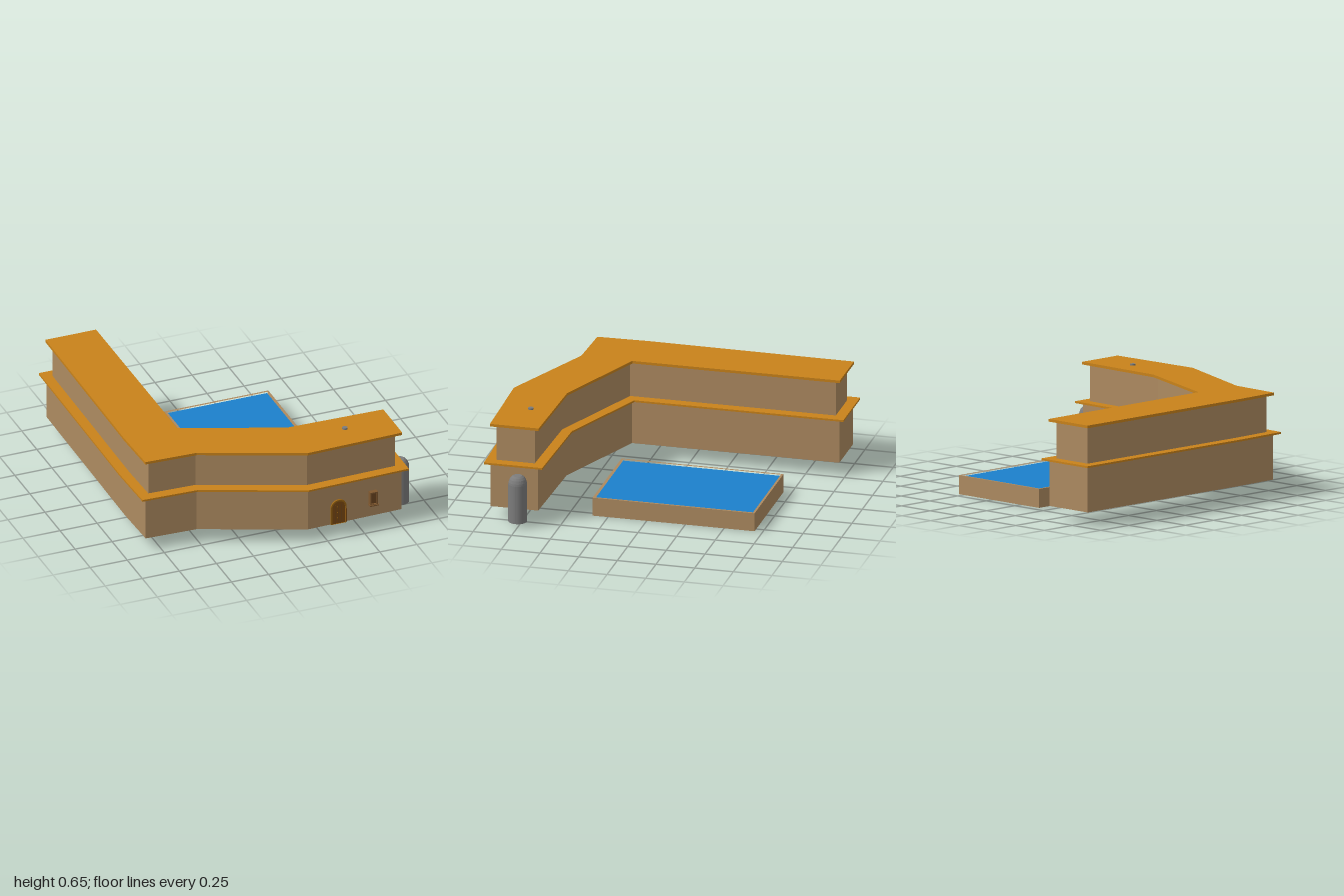
import * as THREE from 'three';

const mat = (color) => new THREE.MeshStandardMaterial({ color, flatShading: true });
const wallMat = mat(0xad8a60), roofMat = mat(0xc8821a), waterMat = mat(0x1c80cc);
const greyMat = new THREE.MeshStandardMaterial({ color: 0x7c7c7c });
const woodMat = mat(0x7d4a12), trimMat = mat(0x9a6412), frameMat = mat(0x80582f), paneMat = mat(0x6b4520);

// Ground plan of the bent building as [x, z], at the edge of the lower slab
const PLAN = [
  [-0.885, -1], [-0.48, -1], [-0.475, 0.35], [0.14, 0.59], [0.805, 0.605],
  [0.805, 0.982], [0.125, 1], [-0.52, 0.735], [-0.885, 0.722], [-0.896, 0.37],
];

// Moves every edge of the plan inwards by d, with mitred corners
function inset(points, d) {
  const n = points.length;
  const normal = (a, b) => {
    const dx = b[0] - a[0], dz = b[1] - a[1], l = Math.hypot(dx, dz);
    return [-dz / l, dx / l];
  };
  return points.map((p, i) => {
    const a = normal(points[(i + n - 1) % n], p);
    const b = normal(p, points[(i + 1) % n]);
    const k = d / (1 + a[0] * b[0] + a[1] * b[1]);
    return [p[0] + (a[0] + b[0]) * k, p[1] + (a[1] + b[1]) * k];
  });
}

function add(parent, name, geometry, material, x = 0, y = 0, z = 0) {
  const mesh = new THREE.Mesh(geometry, material);
  mesh.name = name;
  mesh.position.set(x, y, z);
  parent.add(mesh);
  return mesh;
}

// Upright prism over a plan, from y0 to y1
function prism(parent, name, points, y0, y1, material, hole) {
  const toVec = ([x, z]) => new THREE.Vector2(x, -z);
  const shape = new THREE.Shape(points.map(toVec));
  if (hole) shape.holes.push(new THREE.Path(hole.map(toVec)));
  const g = new THREE.ExtrudeGeometry(shape, { depth: y1 - y0, bevelEnabled: false });
  g.rotateX(-Math.PI / 2);
  return add(parent, name, g, material, 0, y0, 0);
}

// Arched outline standing on y = 0
function arch(w, h, Type = THREE.Shape) {
  const r = w / 2, s = new Type();
  s.moveTo(-r, 0);
  s.lineTo(r, 0);
  s.lineTo(r, h - r);
  s.absarc(0, h - r, r, 0, Math.PI, false);
  s.lineTo(-r, 0);
  return s;
}
const slab = (shape, depth) =>
  new THREE.ExtrudeGeometry(shape, { depth, bevelEnabled: false, curveSegments: 10 });

export function createModel() {
  const model = new THREE.Group();
  model.name = 'house';

  // Two storeys, each with an overhanging slab
  prism(model, 'lowerWalls', inset(PLAN, 0.036), 0.09, 0.38, wallMat);
  prism(model, 'lowerSlab', PLAN, 0.38, 0.392, roofMat);
  prism(model, 'upperWalls', inset(PLAN, 0.067), 0.392, 0.625, wallMat);
  prism(model, 'roof', inset(PLAN, 0.032), 0.625, 0.642, roofMat);
  add(model, 'roofVent', new THREE.CylinderGeometry(0.017, 0.017, 0.012, 20), greyMat, 0.46, 0.646, 0.77);

  // Pool with a thin rim around the water
  const pool = new THREE.Group();
  pool.name = 'pool';
  const basin = [[-0.162, -0.698], [0.54, -0.698], [0.54, 0.35], [-0.162, 0.35]];
  const inner = inset(basin, 0.014);
  prism(pool, 'poolBase', basin, 0, 0.1, wallMat);
  prism(pool, 'poolRim', basin, 0.1, 0.12, wallMat, inner);
  prism(pool, 'water', inner, 0.1, 0.112, waterMat);
  model.add(pool);

  // Arched front door with planks, studs and handle
  const door = new THREE.Group();
  door.name = 'door';
  door.position.set(0.338, 0.09, 0.95);
  const surround = arch(0.106, 0.17);
  surround.holes.push(arch(0.086, 0.16, THREE.Path));
  add(door, 'doorSurround', slab(surround, 0.02), trimMat);
  add(door, 'doorLeaf', slab(arch(0.088, 0.161), 0.014), woodMat);
  for (const x of [-0.022, 0, 0.022])
    add(door, 'doorPlankJoint', new THREE.BoxGeometry(0.002, 0.13, 0.002), paneMat, x, 0.07, 0.0145);
  for (const y of [0.04, 0.08, 0.12])
    add(door, 'doorStud', new THREE.SphereGeometry(0.004, 8, 6), trimMat, -0.008, y, 0.014);
  add(door, 'doorSidePost', new THREE.BoxGeometry(0.008, 0.095, 0.02), woodMat, 0.05, 0.054, 0.012);
  model.add(door);

  // Framed window with a sill and a lintel
  const win = new THREE.Group();
  win.name = 'window';
  win.position.set(0.572, 0.225, 0.948);
  add(win, 'windowPane', new THREE.BoxGeometry(0.04, 0.085, 0.024), paneMat, 0, 0, 0.012);
  for (const s of [-1, 1]) {
    add(win, 'windowJamb', new THREE.BoxGeometry(0.008, 0.09, 0.034), frameMat, s * 0.022, 0, 0.017);
    add(win, 'windowCrossRail', new THREE.BoxGeometry(0.052, 0.008, 0.034), frameMat, 0, s * 0.042, 0.017);
  }
  add(win, 'windowSill', new THREE.BoxGeometry(0.06, 0.008, 0.042), frameMat, 0, -0.046, 0.019);
  model.add(win);

  // Domed tank beside the end wall
  const tankProfile = [[0, 0], [0.059, 0], [0.059, 0], [0.059, 0.25], [0.057, 0.264],
    [0.05, 0.283], [0.04, 0.296], [0.028, 0.304], [0, 0.305]];
  const tank = new THREE.LatheGeometry(tankProfile.map(([r, y]) => new THREE.Vector2(r, y)), 28);
  add(model, 'tank', tank, mat(0x7c7c7c), 0.836, 0.035, 0.755);

  return model;
}
